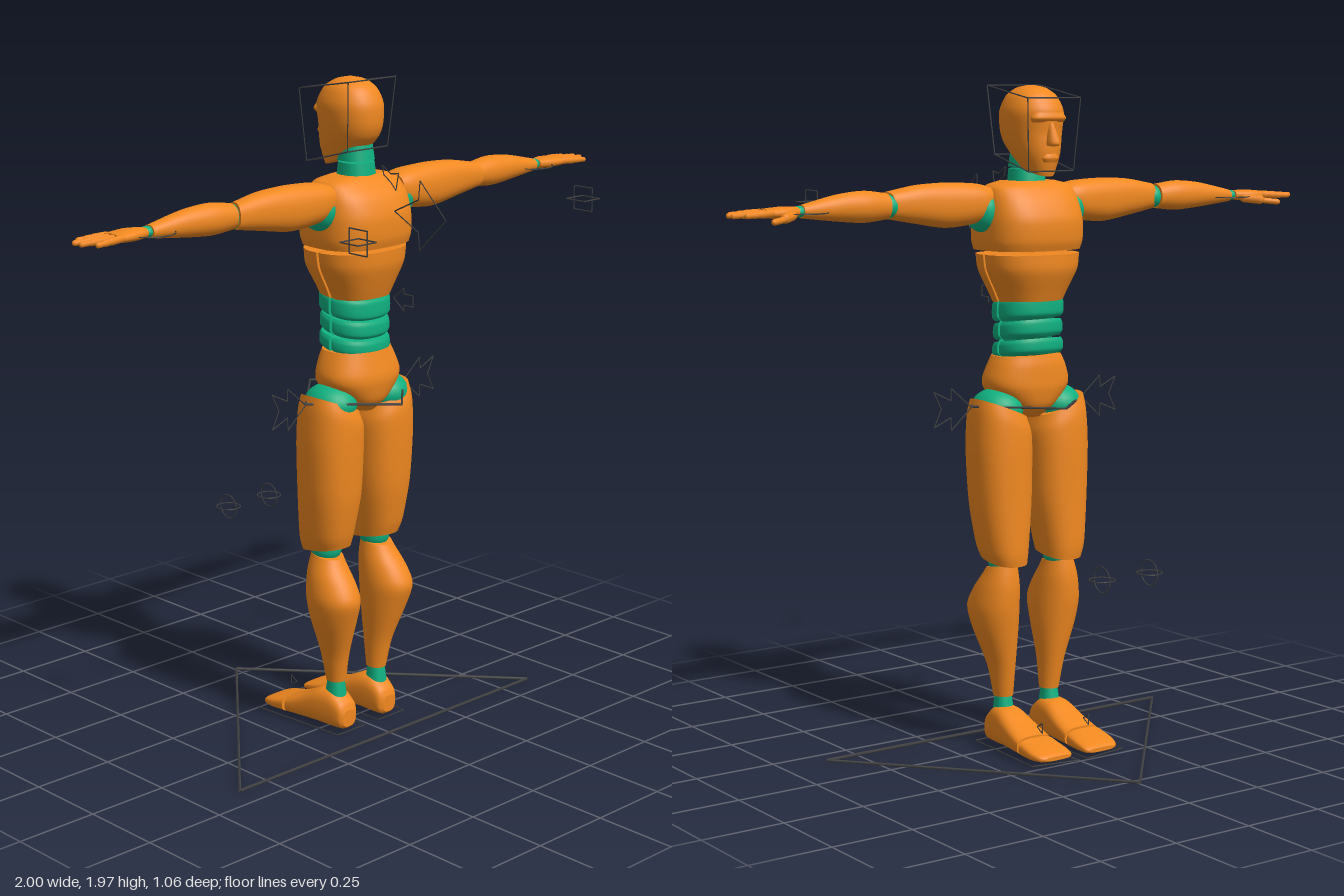
import * as THREE from 'three';
import { mergeGeometries } from 'three/addons/utils/BufferGeometryUtils.js';

const V = (x, y, z) => new THREE.Vector3(x, y, z);
const orange = new THREE.MeshStandardMaterial({ color: 0xf08820 });
const green = new THREE.MeshStandardMaterial({ color: 0x10b080 });
const dark = new THREE.MeshStandardMaterial({ color: 0x444444 });

// Closed body through rounded sections [p, a0, a1, b0, b1] along an axis.
// axis x: a = y, b = z; axis y: a = x, b = z; axis z: a = x, b = y.
function loft(axis, sections, { n = 2.4, side = 1, warp, seg = 32, steps = 4 } = {}) {
  const rows = [];
  const last = sections.length - 1;
  const curves = [1, 2, 3, 4].map(k => {
    const c = new THREE.CatmullRomCurve3(sections.map((s, i) => V(i, s[k], s[0])), false, 'catmullrom', 0.4);
    return c;
  });
  for (let i = 0; i <= last * steps; i++) {
    const at = curves.map(c => c.getPoint(i / (last * steps)));
    const [a0, a1, b0, b1] = at.map(v => v.y), p = at[0].z, row = [];
    for (let j = 0; j < seg; j++) {
      const t = j / seg * Math.PI * 2, c = Math.cos(t), s = Math.sin(t);
      const a = (a0 + a1) / 2 + (a1 - a0) / 2 * Math.sign(c) * Math.abs(c) ** (2 / n);
      const b = (b0 + b1) / 2 + (b1 - b0) / 2 * Math.sign(s) * Math.abs(s) ** (2 / n);
      const v = axis === 'x' ? V(p, a, b) : axis === 'y' ? V(a, p, b) : V(a, b, p);
      if (warp) warp(v);
      v.x *= side;
      row.push(v);
    }
    rows.push(row);
  }
  const pts = rows.flat(), idx = [], R = rows.length;
  for (let i = 0; i < R - 1; i++) for (let j = 0; j < seg; j++) {
    const k = (j + 1) % seg, a = i * seg + j, b = i * seg + k;
    idx.push(a, b, b + seg, a, b + seg, a + seg);
  }
  // separate end caps keep the rims crisp
  [rows[0], rows[R - 1]].forEach((row, e) => {
    const base = pts.length, mid = V(0, 0, 0);
    row.forEach(v => mid.addScaledVector(v, 1 / seg));
    pts.push(...row, mid);
    for (let j = 0; j < seg; j++) {
      const a = base + j, b = base + (j + 1) % seg;
      e ? idx.push(a, b, base + seg) : idx.push(b, a, base + seg);
    }
  });
  // turn the faces outward
  let vol = 0;
  for (let i = 0; i < idx.length; i += 3)
    vol += pts[idx[i]].dot(V(0, 0, 0).crossVectors(pts[idx[i + 1]], pts[idx[i + 2]]));
  if (vol < 0) idx.reverse();
  const g = new THREE.BufferGeometry().setFromPoints(pts);
  g.setIndex(idx);
  g.computeVertexNormals();
  return g;
}

// Thin closed outlines made of straight bars
function wire(loops, r = 0.002) {
  const bars = [];
  for (const loop of loops) loop.forEach((p, i) => {
    const q = loop[(i + 1) % loop.length], d = q.clone().sub(p);
    const g = new THREE.CylinderGeometry(r, r, d.length(), 4);
    g.applyQuaternion(new THREE.Quaternion().setFromUnitVectors(V(0, 1, 0), d.normalize()));
    g.translate((p.x + q.x) / 2, (p.y + q.y) / 2, (p.z + q.z) / 2);
    bars.push(g);
  });
  return mergeGeometries(bars);
}
const ring = (r, f, n = 24, start = 0) =>
  Array.from({ length: n }, (_, i) => f(r * Math.cos(start + i / n * Math.PI * 2), r * Math.sin(start + i / n * Math.PI * 2)));

export function createModel() {
  const model = new THREE.Group();
  const add = (name, geo, mat) => {
    const m = new THREE.Mesh(geo, mat);
    m.name = name;
    model.add(m);
    return m;
  };
  const ball = (name, mat, p, rx, ry, rz) => add(name, new THREE.SphereGeometry(1, 24, 16).scale(rx, ry, rz).translate(...p), mat);
  const rod = (name, mat, p, q, r) => {
    const d = q.clone().sub(p), m = add(name, new THREE.CapsuleGeometry(r, d.length(), 4, 10), mat);
    m.position.copy(p).lerp(q, 0.5);
    m.quaternion.setFromUnitVectors(V(0, 1, 0), d.normalize());
  };

  // Head, tilted up under the jaw toward the back
  add('head', loft('y', [[1.735, -0.045, 0.045, -0.088, 0.05], [1.78, -0.067, 0.067, -0.102, 0.08], [1.83, -0.08, 0.08, -0.1, 0.1],
    [1.89, -0.085, 0.085, -0.104, 0.1], [1.935, -0.068, 0.068, -0.08, 0.078], [1.958, -0.04, 0.04, -0.045, 0.045], [1.966, -0.008, 0.008, -0.01, 0.01]],
    { n: 2.2, warp: v => { v.y += v.z * 0.35 * THREE.MathUtils.clamp((1.8 - v.y) / 0.06, 0, 1); } }), orange);
  add('nose', loft('y', [[1.792, -0.016, 0.016, -0.126, -0.08], [1.805, -0.017, 0.017, -0.13, -0.08], [1.86, -0.007, 0.007, -0.106, -0.08]], { seg: 12 }), orange);
  add('lips', loft('y', [[1.745, -0.022, 0.022, -0.103, -0.08], [1.757, -0.028, 0.028, -0.108, -0.08], [1.77, -0.02, 0.02, -0.105, -0.08]], { seg: 12 }), orange);
  add('brow', loft('y', [[1.86, -0.055, 0.055, -0.1, -0.06], [1.872, -0.06, 0.06, -0.109, -0.06], [1.888, -0.05, 0.05, -0.104, -0.06]], { seg: 16 }), orange);

  // Neck in two rings
  add('lowerNeck', loft('y', [[1.66, -0.056, 0.056, -0.035, 0.08], [1.725, -0.05, 0.05, -0.025, 0.073]]), green);
  add('upperNeck', loft('y', [[1.73, -0.052, 0.052, -0.03, 0.073], [1.79, -0.046, 0.046, -0.035, 0.065]]), green);

  // Torso
  add('chest', loft('y', [[1.49, -0.152, 0.152, -0.105, 0.148], [1.52, -0.158, 0.158, -0.114, 0.155], [1.58, -0.157, 0.157, -0.114, 0.154],
    [1.635, -0.15, 0.15, -0.09, 0.133], [1.675, -0.135, 0.135, -0.058, 0.095], [1.69, -0.085, 0.085, -0.03, 0.075]], { n: 2.8 }), orange);

  // Ribs and waist rings, each split into a front and a back half
  const halves = (name, mat, sections, tilt) => [-1, 1].forEach(h => add((h < 0 ? 'front' : 'back') + name, loft('y', sections, {
    warp: v => {
      v.y -= v.z * tilt;
      v.z = h < 0 ? Math.min(v.z, 0.016) : Math.max(v.z, 0.027);
    } }), mat));
  halves('Ribs', orange, [[1.335, -0.1, 0.1, -0.072, 0.11], [1.37, -0.116, 0.116, -0.085, 0.123], [1.43, -0.146, 0.146, -0.107, 0.142], [1.478, -0.154, 0.154, -0.108, 0.145]], 0);
  [[1.285, 1.345, 0.104], [1.23, 1.28, 0.1], [1.178, 1.224, 0.103]].forEach(([lo, hi, r], i) =>
    halves('Waist' + (i + 1), green, [[lo, -r + 0.01, r - 0.01, -0.066, 0.1], [lo + 0.012, -r, r, -0.074, 0.108], [hi - 0.012, -r, r, -0.074, 0.108], [hi, -r + 0.006, r - 0.006, -0.07, 0.104]], 0.14));

  add('pelvis', loft('y', [[0.995, -0.035, 0.035, -0.02, 0.085], [1.03, -0.08, 0.08, -0.055, 0.115], [1.08, -0.128, 0.128, -0.066, 0.126],
    [1.11, -0.134, 0.134, -0.066, 0.125], [1.15, -0.12, 0.12, -0.064, 0.115], [1.178, -0.106, 0.106, -0.058, 0.108]]), orange);

  for (const side of [1, -1]) {
    const s = side > 0 ? 'left' : 'right', o = { side };
    // Leg
    ball(s + 'HipJoint', green, [side * 0.105, 1.025, 0.025], 0.075, 0.06, 0.083);
    add(s + 'Thigh', loft('y', [[0.575, 0.04, 0.158, -0.076, 0.076], [0.62, 0.033, 0.172, -0.08, 0.09], [0.75, 0.015, 0.188, -0.077, 0.108],
      [0.9, 0.01, 0.195, -0.076, 0.115], [0.98, 0.012, 0.19, -0.072, 0.114], [1.025, 0.025, 0.182, -0.06, 0.1]],
      { side, warp: v => { v.y += (v.x - 0.1) * 0.4 * THREE.MathUtils.smoothstep(v.y, 0.88, 1.02) + (v.z * 0.16) * THREE.MathUtils.smoothstep(0.75 - v.y, 0, 0.15); } }), orange);
    ball(s + 'KneeJoint', green, [side * 0.1, 0.575, 0], 0.047, 0.05, 0.046);
    add(s + 'Shin', loft('y', [[0.155, 0.056, 0.113, -0.006, 0.056], [0.25, 0.052, 0.13, -0.022, 0.075], [0.36, 0.042, 0.168, -0.04, 0.112],
      [0.43, 0.04, 0.18, -0.05, 0.13], [0.5, 0.047, 0.167, -0.052, 0.092], [0.56, 0.058, 0.146, -0.042, 0.056]],
      { side, n: 2.1, warp: v => { v.y -= (v.z + 0.01) * 0.2 * THREE.MathUtils.smoothstep(v.y, 0.48, 0.56); } }), orange);
    add(s + 'AnkleJoint', loft('y', [[0.1, 0.055, 0.115, -0.01, 0.058], [0.16, 0.062, 0.108, 0, 0.05]], o), green);
    add(s + 'Foot', loft('z', [[0.082, 0.06, 0.11, 0.018, 0.07], [0.07, 0.045, 0.122, 0.01, 0.095], [0.03, 0.04, 0.13, 0.008, 0.125],
      [-0.02, 0.035, 0.138, 0.01, 0.122], [-0.08, 0.028, 0.145, 0.01, 0.092], [-0.137, 0.025, 0.15, 0.01, 0.066]], { side, n: 2.8 }), orange);
    add(s + 'Toes', loft('z', [[-0.147, 0.025, 0.151, 0.01, 0.063], [-0.2, 0.022, 0.152, 0.01, 0.048], [-0.235, 0.024, 0.142, 0.012, 0.036], [-0.247, 0.035, 0.125, 0.016, 0.028]], { side, n: 3 }), orange);

    // Arm
    ball(s + 'ShoulderJoint', green, [side * 0.155, 1.605, 0.03], 0.045, 0.062, 0.06);
    add(s + 'UpperArm', loft('x', [[0.135, 1.59, 1.675, -0.015, 0.085], [0.18, 1.57, 1.685, -0.025, 0.092], [0.28, 1.56, 1.69, -0.02, 0.09],
      [0.38, 1.575, 1.685, -0.012, 0.082], [0.475, 1.592, 1.668, 0, 0.072]], { side, warp: v => { v.x -= (0.03 - v.z) * 0.25 * THREE.MathUtils.smoothstep(v.x, 0.4, 0.47); } }), orange);
    ball(s + 'ElbowJoint', green, [side * 0.475, 1.628, 0.03], 0.035, 0.034, 0.034);
    add(s + 'Forearm', loft('x', [[0.485, 1.592, 1.666, -0.01, 0.064], [0.56, 1.585, 1.675, -0.02, 0.066], [0.65, 1.592, 1.667, -0.016, 0.056],
      [0.765, 1.605, 1.642, -0.006, 0.04]], { side, n: 2.1 }), orange);
    ball(s + 'WristJoint', green, [side * 0.773, 1.624, 0.016], 0.022, 0.016, 0.02);
    add(s + 'Palm', loft('x', [[0.782, 1.61, 1.638, -0.008, 0.038], [0.83, 1.606, 1.64, -0.028, 0.048], [0.89, 1.61, 1.635, -0.028, 0.052]], o), orange);
    [[-0.021, 0.962, -0.036], [0, 0.991, -0.012], [0.022, 0.99, 0.016], [0.043, 0.965, 0.054]].forEach(([z, tx, tz], i) => {
      const at = t => V(side * THREE.MathUtils.lerp(0.88, tx, t), 1.624 - 0.004 * t, THREE.MathUtils.lerp(z, tz, t));
      [[0, 0.45, 0.0105], [0.5, 0.72, 0.0095], [0.78, 1, 0.008]].forEach(([a, b, r], k) => rod(`${s}Finger${i + 1}Segment${k + 1}`, orange, at(a), at(b), r));
    });
    rod(s + 'ThumbBase', orange, V(side * 0.81, 1.615, -0.012), V(side * 0.848, 1.61, -0.042), 0.014);
    rod(s + 'ThumbTip', orange, V(side * 0.86, 1.607, -0.05), V(side * 0.897, 1.603, -0.068), 0.009);

    // Limb control outlines
    add(s + 'HipArrow', wire([[[0.2, 1.035], [0.27, 1.095], [0.272, 1.06], [0.33, 1.088], [0.305, 1.037], [0.33, 0.985], [0.272, 1.01], [0.27, 0.972]]
      .map(([x, y]) => V(side * x, y, 0.02))]), dark);
    add(s + 'ElbowTarget', wire([ring(0.048, (a, b) => V(side * 0.45 + a, 1.62, 0.495 + b), 4, Math.PI / 4),
      ring(0.048, (a, b) => V(side * 0.45, 1.62 + a, 0.495 + b), 4, Math.PI / 4)]), dark);
    add(s + 'KneeTarget', wire([ring(0.037, (a, b) => V(side * 0.085 + a, 0.59, -0.46 + b)), ring(0.037, (a, b) => V(side * 0.085, 0.59 + a, -0.46 + b))]), dark);
    add(s + 'WristRing', wire([ring(0.07, (a, b) => V(side * 0.76 + a, 1.62, 0.015 + b))]), dark);
    add(s + 'FootOutline', wire([[[0.015, -0.262], [0.165, -0.235], [0.14, 0.09], [0.03, 0.09]].map(([x, z]) => V(side * x, 0.008, z))]), dark);
    add(s + 'ToeMarker', wire([[V(side * 0.085, 0.11, -0.175), V(side * 0.085, 0.095, -0.15), V(side * 0.085, 0.08, -0.175)]]), dark);
  }

  // Central control outlines
  add('groundTriangle', wire([[V(0, 0.005, -0.53), V(0.61, 0.005, 0.178), V(-0.61, 0.005, 0.178)]], 0.005), dark);
  add('hipDiamond', wire([[V(0, 1.037, -0.175), V(0.2, 1.037, 0.02), V(0, 1.037, 0.213), V(-0.2, 1.037, 0.02)]], 0.004), dark);
  const flat = pts => [pts.map(([z, y]) => V(0, y, z))];
  add('chestArrow', wire(flat([[0.382, 1.6], [0.28, 1.7], [0.275, 1.645], [0.18, 1.6], [0.275, 1.552], [0.28, 1.5]])), dark);
  add('waistArrow', wire(flat([[0.255, 1.365], [0.22, 1.365], [0.22, 1.382], [0.178, 1.348], [0.22, 1.315], [0.22, 1.332], [0.255, 1.332]])), dark);
  add('neckArrow', wire(flat([[0.195, 1.71], [0.185, 1.66], [0.165, 1.68], [0.135, 1.7], [0.13, 1.725], [0.165, 1.705]])), dark);
  const box = (y, x, z0, z1, dy) => [V(-x, y - dy, z0), V(x, y - dy, z0), V(x, y, z1), V(-x, y, z1)];
  const top = box(1.965, 0.094, -0.115, 0.088, 0.035), low = box(1.765, 0.08, -0.1, 0.07, 0.045);
  add('headCage', wire([top, low, ...[0, 2].map(i => [top[i], low[i], low[i + 1], top[i + 1]])]), dark);
  return model;
}
